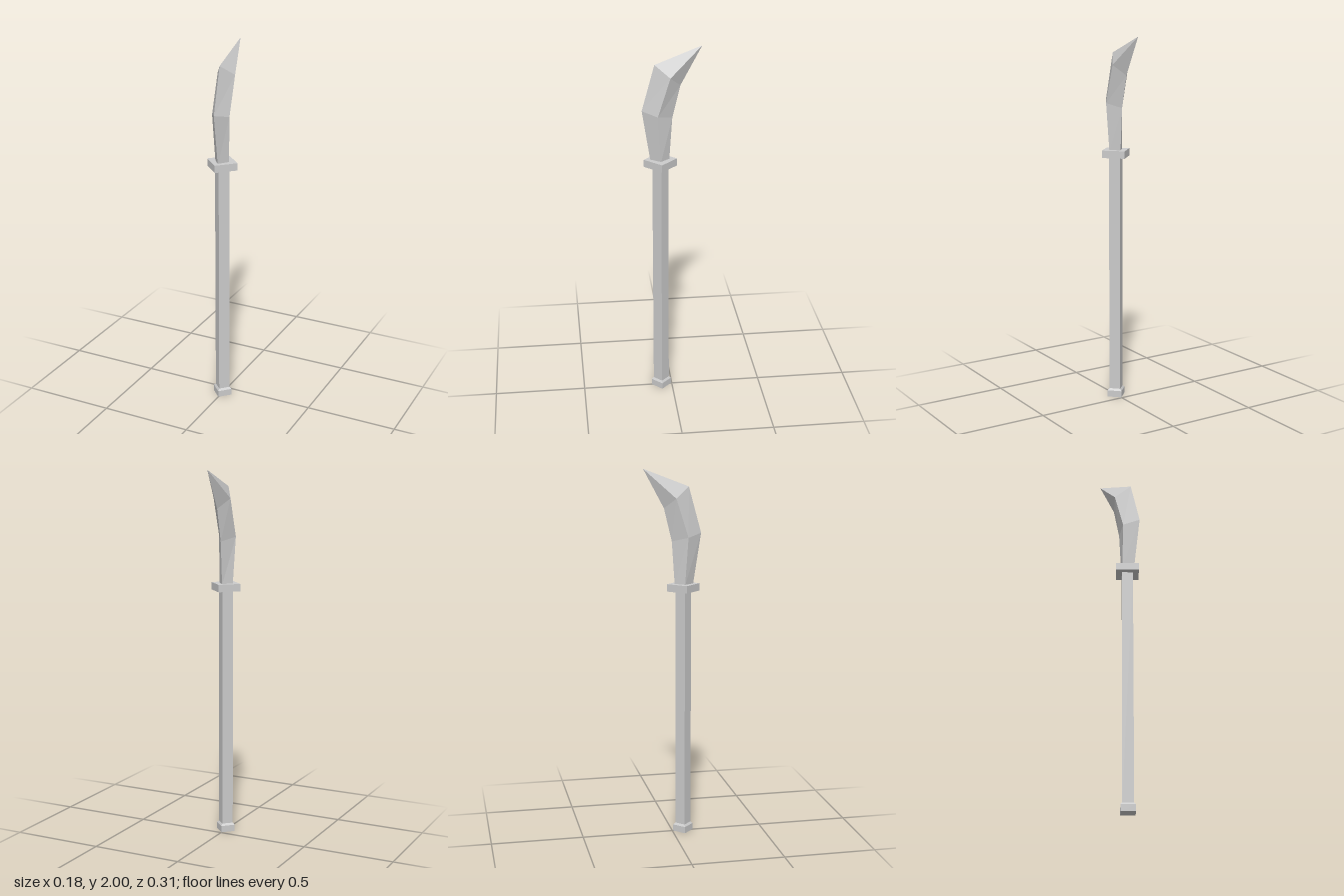
import * as THREE from 'three';

const AXIS_Z = 0.06; // the pole sits slightly forward of the curved blade tip
const material = new THREE.MeshStandardMaterial({ color: 0xcccccc, flatShading: true });

// Four-sided prism with its corners on the x and z axes
function diamondPrism(name, bottomRadius, topRadius, y0, y1) {
  const geometry = new THREE.CylinderGeometry(topRadius, bottomRadius, y1 - y0, 4);
  const mesh = new THREE.Mesh(geometry, material);
  mesh.name = name;
  mesh.position.set(0, (y0 + y1) / 2, AXIS_Z);
  return mesh;
}

// Curved blade lofted through diamond sections up to a point
function createBlade() {
  // each section: half width, then [y, z] of the front edge, side ridges and back edge
  const sections = [
    { w: 0.04, front: [1.385, 0.113], side: [1.385, 0.061], back: [1.385, 0.013] },
    { w: 0.05, front: [1.66, 0.156], side: [1.64, 0.077], back: [1.618, -0.003] },
    { w: 0.05, front: [1.905, 0.089], side: [1.846, 0.012], back: [1.793, -0.045] },
    { w: 0, front: [2, -0.156], side: [2, -0.156], back: [2, -0.156] },
  ];
  const rings = sections.map(({ w, front, side, back }) => [
    [0, ...front], [w, ...side], [0, ...back], [-w, ...side],
  ]);
  const positions = [];
  for (let s = 0; s < rings.length - 1; s++) {
    const [low, high] = [rings[s], rings[s + 1]];
    for (let i = 0; i < 4; i++) {
      const j = (i + 1) % 4;
      positions.push(...low[i], ...low[j], ...high[j]);
      if (s < rings.length - 2) positions.push(...low[i], ...high[j], ...high[i]);
    }
  }
  // base cap
  const [a, b, c, d] = rings[0];
  positions.push(...a, ...c, ...b, ...a, ...d, ...c);

  const geometry = new THREE.BufferGeometry();
  geometry.setAttribute('position', new THREE.Float32BufferAttribute(positions, 3));
  geometry.computeVertexNormals();
  const blade = new THREE.Mesh(geometry, material);
  blade.name = 'blade';
  return blade;
}

export function createModel() {
  const group = new THREE.Group();
  group.name = 'glaive';
  group.add(
    diamondPrism('pommel', 0.055, 0.055, 0, 0.036),
    diamondPrism('pommelBevel', 0.055, 0.043, 0.036, 0.047),
    diamondPrism('pole', 0.043, 0.043, 0.03, 1.36),
    diamondPrism('guard', 0.088, 0.088, 1.35, 1.39),
    createBlade(),
  );
  return group;
}
